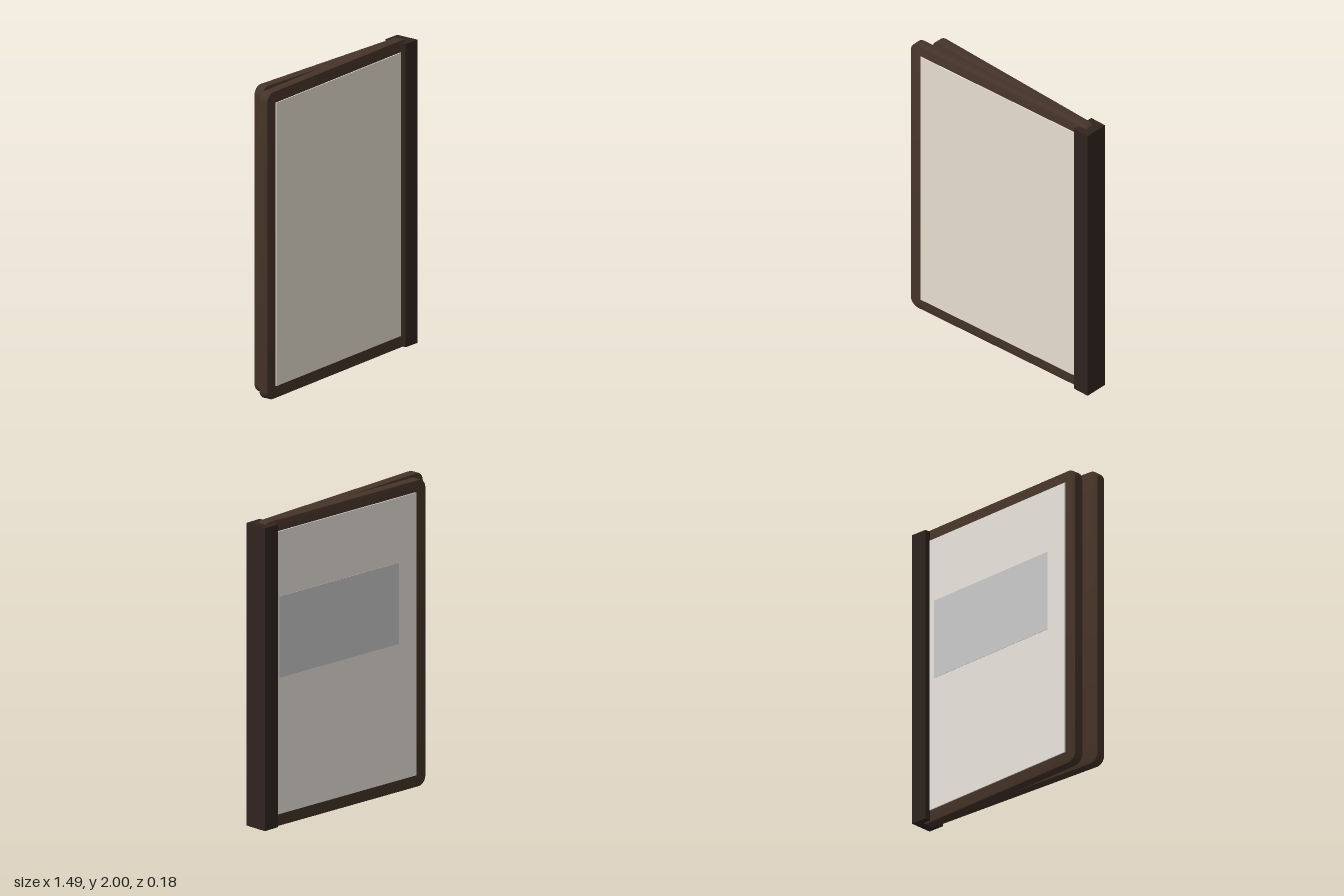
import * as THREE from 'three';
import { toCreasedNormals } from 'three/addons/utils/BufferGeometryUtils.js';

const mat = (color) => new THREE.MeshStandardMaterial({ color });
const THICK = 0.065, BEVEL = 0.005, HINGE_X = 0.71;

// Board with rounded corners, running from the hinge (x = 0) towards -x
function boardGeometry(width, height, r) {
  const b = BEVEL, x0 = -width + b, x1 = -b, y0 = -height / 2 + b, y1 = height / 2 - b;
  const s = new THREE.Shape();
  s.moveTo(x0 + r, y0);
  s.lineTo(x1 - r, y0);
  s.absarc(x1 - r, y0 + r, r, -Math.PI / 2, 0);
  s.lineTo(x1, y1 - r);
  s.absarc(x1 - r, y1 - r, r, 0, Math.PI / 2);
  s.lineTo(x0 + r, y1);
  s.absarc(x0 + r, y1 - r, r, Math.PI / 2, Math.PI);
  s.lineTo(x0, y0 + r);
  s.absarc(x0 + r, y0 + r, r, Math.PI, Math.PI * 1.5);
  const g = new THREE.ExtrudeGeometry(s, {
    depth: THICK - 2 * b, bevelThickness: b, bevelSize: b, bevelSegments: 2, curveSegments: 8,
  });
  g.translate(0, 0, -THICK / 2 + b);
  return toCreasedNormals(g, 0.5);
}

// Thin rectangular sheet given by its limits
function sheet(name, material, x0, x1, y0, y1, z0, z1) {
  const m = new THREE.Mesh(new THREE.BoxGeometry(x1 - x0, y1 - y0, Math.abs(z1 - z0)), material);
  m.position.set((x0 + x1) / 2, (y0 + y1) / 2, (z0 + z1) / 2);
  m.name = name;
  return m;
}

// Hinged cover: board plus the sheet on its outer face (side +1 front, -1 back)
function cover(name, width, side, angle, leather, paper) {
  const g = new THREE.Group();
  g.name = name;
  const board = new THREE.Mesh(boardGeometry(width, 2, 0.055), leather);
  board.name = name + 'Board';
  g.add(board);
  g.add(sheet(name + 'Sheet', paper, -width + 0.085, -0.08, -0.92, 0.925, side * 0.03, side * 0.04));
  g.position.set(HINGE_X, 1, side * 0.001);
  g.rotation.y = side * angle;
  return g;
}

export function createModel() {
  const model = new THREE.Group();
  model.name = 'folder';
  const leather = mat(0x463429);

  // Two covers, slightly open
  const front = cover('frontCover', 1.455, 1, 0.0362, leather, mat(0xe8e0d0));
  const back = cover('backCover', 1.37, -1, 0.0405, leather, mat(0xebe7de));

  // Grey picture panel on the back cover
  back.add(sheet('backPicture', mat(0xcccccc), -1.135, -0.13, -0.03, 0.5, -0.039, -0.042));

  // Square spine around the hinge
  const spine = sheet('spine', mat(0x30241e), 0.626, 0.742, 0.013, 1.988, -0.08, 0.08);

  model.add(front, back, spine);
  return model;
}
